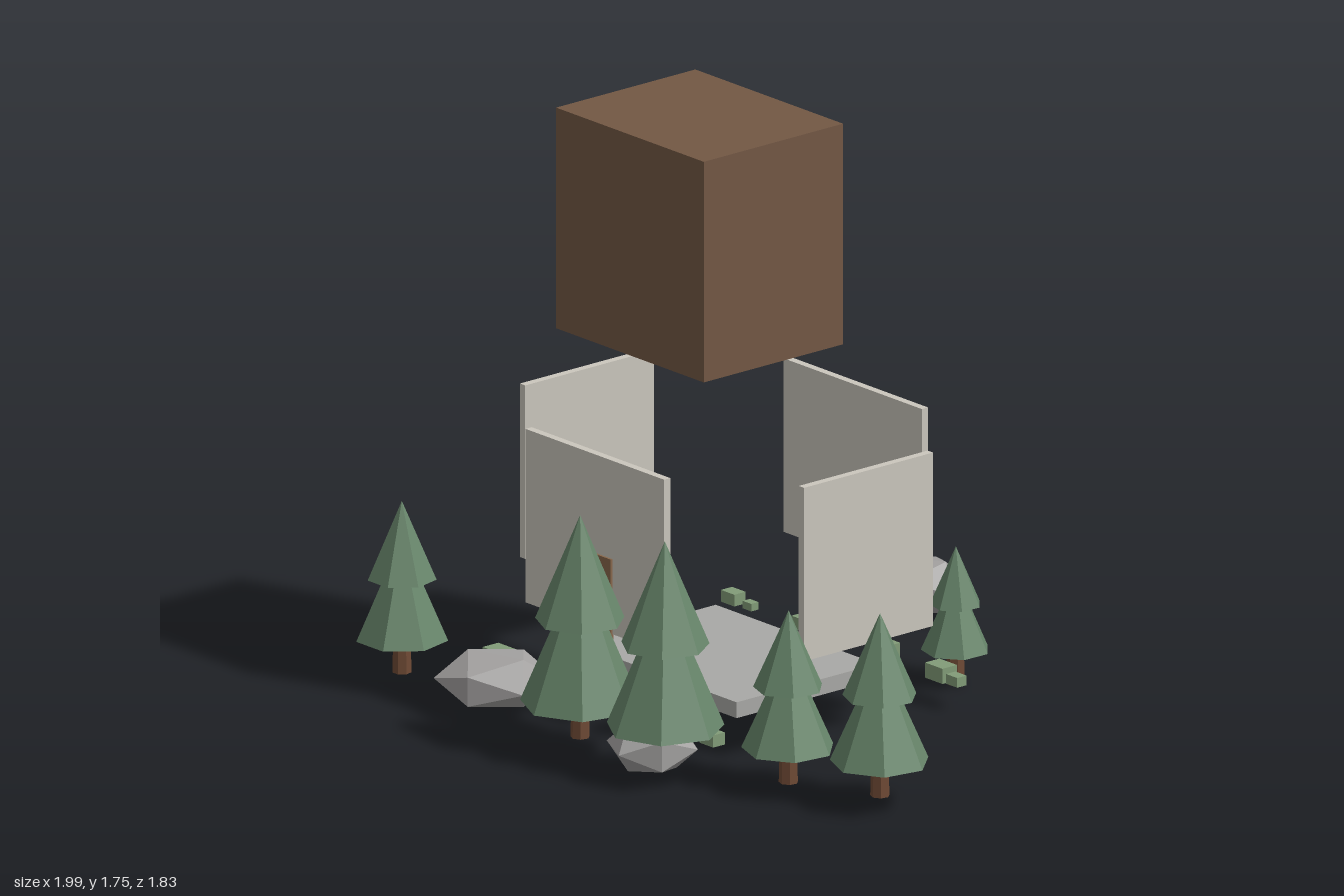
import * as THREE from 'three';

const mat = (color) => new THREE.MeshStandardMaterial({ color, flatShading: true });
const wallMat = mat(0xcbc7bd), roofMat = mat(0x735844), doorMat = mat(0x87674b);
const windowMat = mat(0x5a4030), floorMat = mat(0xa9a9a6), leafMat = mat(0x67856a);
const barkMat = mat(0x6f4a35), bushMat = mat(0x829c78), rockMat = mat(0xa3a1a0);

function add(parent, name, geometry, material, x, y, z) {
  const mesh = new THREE.Mesh(geometry, material);
  mesh.name = name;
  mesh.position.set(x, y, z);
  parent.add(mesh);
  return mesh;
}

// Box given by its extents on each axis
function box(parent, name, material, [x0, x1], [y0, y1], [z0, z1]) {
  return add(parent, name, new THREE.BoxGeometry(x1 - x0, y1 - y0, z1 - z0), material,
    (x0 + x1) / 2, (y0 + y1) / 2, (z0 + z1) / 2);
}

// Two-tier conifer on a short trunk of fixed size
function tree(parent, x, y, z, radius, top, turn) {
  const g = new THREE.Group();
  g.name = 'tree';
  g.position.set(x, y, z);
  g.rotation.y = turn;
  parent.add(g);
  const trunk = 0.1, h = top - y - trunk;
  add(g, 'trunk', new THREE.CylinderGeometry(0.024, 0.028, trunk + 0.04, 7), barkMat, 0, trunk / 2 + 0.02, 0);
  const lower = h * 0.74, upper = h * 0.56;
  add(g, 'lowerFoliage', new THREE.ConeGeometry(radius, lower, 7), leafMat, 0, trunk + lower / 2, 0);
  add(g, 'upperFoliage', new THREE.ConeGeometry(radius * 0.75, upper, 7), leafMat, 0, trunk + h - upper / 2, 0);
}

// Flattened faceted boulder
function rock(parent, x, y, z, radius, squash, turn) {
  const m = add(parent, 'rock', new THREE.IcosahedronGeometry(radius, 0), rockMat, x, y, z);
  m.scale.y = squash;
  m.rotation.y = turn;
}

export function createModel() {
  const model = new THREE.Group();

  // Exploded cabin: floor, four walls, and roof block hovering above
  const cabin = new THREE.Group();
  cabin.name = 'cabin';
  model.add(cabin);
  const wallY = [0.317, 0.832], wallX = [-0.445, 0.152], wallZ = [-0.15, 0.33];
  box(cabin, 'floor', floorMat, [-0.495, 0.199], [0.086, 0.133], [-0.17, 0.352]);
  box(cabin, 'frontWall', wallMat, wallX, wallY, [0.558, 0.581]);
  box(cabin, 'backWall', wallMat, wallX, wallY, [-0.401, -0.378]);
  box(cabin, 'rightWall', wallMat, [-0.76, -0.737], wallY, wallZ);
  box(cabin, 'leftWall', wallMat, [0.441, 0.464], wallY, wallZ);
  box(cabin, 'roof', roofMat, [-0.465, 0.171], [1.097, 1.752], [-0.068, 0.45]);
  box(cabin, 'door', doorMat, [-0.22, -0.07], [0.22, 0.54], [0.577, 0.588]);
  for (const z of [-0.06, 0.238])
    box(cabin, 'window', windowMat, [-0.765, -0.757], [0.57, 0.685], [z - 0.077, z + 0.077]);

  // Trees: x, base y, z, radius, top y, turn
  [
    [-0.87, 0.024, 0.674, 0.133, 0.531, Math.PI],
    [-0.035, 0.055, 0.732, 0.172, 0.713, 0.0],
    [0.273, 0.05, 0.683, 0.17, 0.702, -0.1],
    [0.585, 0.025, 0.492, 0.134, 0.535, 0.1],
    [0.855, 0.03, 0.385, 0.143, 0.571, 0.05],
    [0.172, 0.0, -0.487, 0.099, 0.406, 0.2],
  ].forEach((t) => tree(model, ...t));

  // Rocks: x, y, z, radius, squash, turn
  rock(model, -0.482, 0.1, 0.66, 0.175, 0.47, 0.3);
  rock(model, -0.34, 0.093, -0.805, 0.134, 0.67, 0.5);
  rock(model, 0.21, 0.08, 0.675, 0.135, 0.63, 1.1);

  // Block shrubs in a row before and behind the house: centre x, width
  const rows = [
    [0.522, [[-0.621, 0.086], [-0.512, 0.045], [-0.38, 0.064], [-0.266, 0.085],
      [-0.09, 0.045], [0.094, 0.105], [0.29, 0.06]]],
    [-0.341, [[-0.618, 0.058], [-0.543, 0.037], [-0.313, 0.059], [-0.151, 0.055],
      [0.028, 0.08], [0.277, 0.075], [0.343, 0.048]]],
  ];
  for (const [z, shrubs] of rows)
    for (const [x, w] of shrubs) {
      const d = Math.min(w * 0.72, 0.058), h = Math.min(w * 0.6, 0.052);
      box(model, 'shrub', bushMat, [x - w / 2, x + w / 2], [0.071, 0.071 + h], [z - d / 2, z + d / 2]);
    }

  return model;
}
